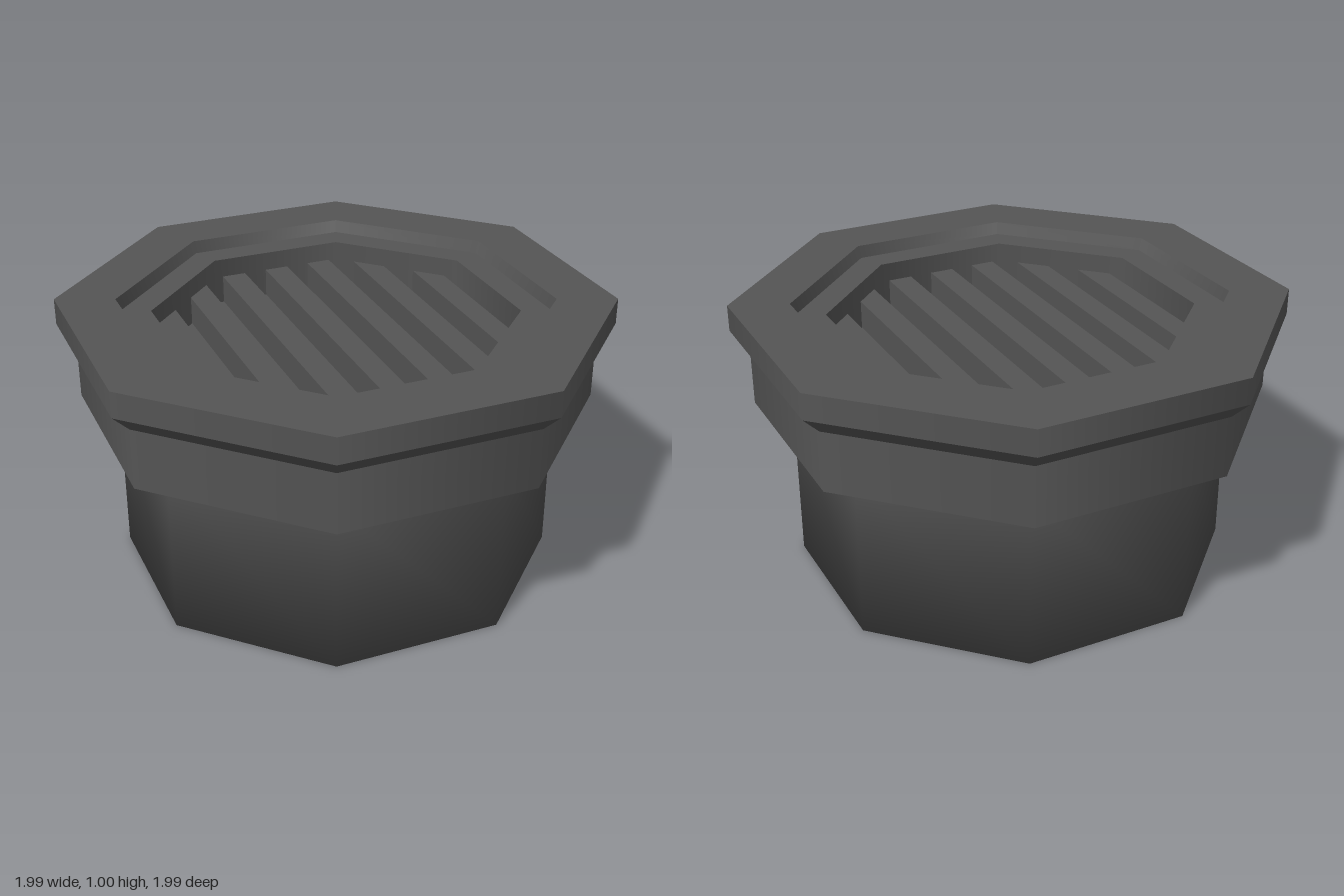
import * as THREE from 'three';

export function createModel() {
  const model = new THREE.Group();
  model.name = 'ventCap';
  const darkGrey = new THREE.MeshStandardMaterial({ color: 0x555555 });
  darkGrey.name = 'darkGrey';

  const add = (name, geometry, parent = model) => {
    const mesh = new THREE.Mesh(geometry, darkGrey);
    mesh.name = name;
    parent.add(mesh);
    return mesh;
  };

  // Eight-sided band swept round the vertical axis
  const band = (name, ...profile) =>
    add(name, new THREE.LatheGeometry(profile.map(([r, y]) => new THREE.Vector2(r, y)), 8));

  // Lower body, softly shaded over its bottom edge
  band('body', [0, 0], [0.795, 0], [0.795, 0.62]);

  // Collar and flared rim, each band with crisp edges
  band('collarUnderside', [0.795, 0.62], [0.93, 0.62]);
  band('collar', [0.93, 0.62], [0.93, 0.84]);
  band('rimFlare', [0.93, 0.84], [0.995, 0.905]);
  band('rimSide', [0.995, 0.905], [0.995, 1]);
  band('rimTop', [0.995, 1], [0.778, 1]);

  // Recessed ring and the well holding the grille
  const holeRadius = 0.655, floorY = 0.78;
  band('rimStep', [0.778, 1], [0.764, 0.955]);
  band('innerRing', [0.764, 0.955], [holeRadius, 0.955]);
  band('wellWall', [holeRadius, 0.955], [holeRadius, floorY]);
  band('wellFloor', [holeRadius, floorY], [0, floorY]);

  // Parallel slats, their ends cut to the octagonal well
  const grille = new THREE.Group();
  grille.name = 'grille';
  const apothem = holeRadius * Math.cos(Math.PI / 8);
  const reach = (d) => Math.min(apothem, apothem * Math.SQRT2 - Math.abs(d));
  const pitch = 0.175, width = 0.09, slatTop = 0.885;
  for (let i = -3; i <= 3; i++) {
    const a = i * pitch - width / 2, b = i * pitch + width / 2;
    const outline = new THREE.Shape([
      new THREE.Vector2(a, -reach(a)), new THREE.Vector2(b, -reach(b)),
      new THREE.Vector2(b, reach(b)), new THREE.Vector2(a, reach(a)),
    ]);
    const slat = new THREE.ExtrudeGeometry(outline, { depth: slatTop - floorY, bevelEnabled: false });
    slat.rotateX(-Math.PI / 2).translate(0, floorY, 0);
    add('slat', slat, grille);
  }
  grille.rotation.y = -Math.PI / 8;
  model.add(grille);

  return model;
}
